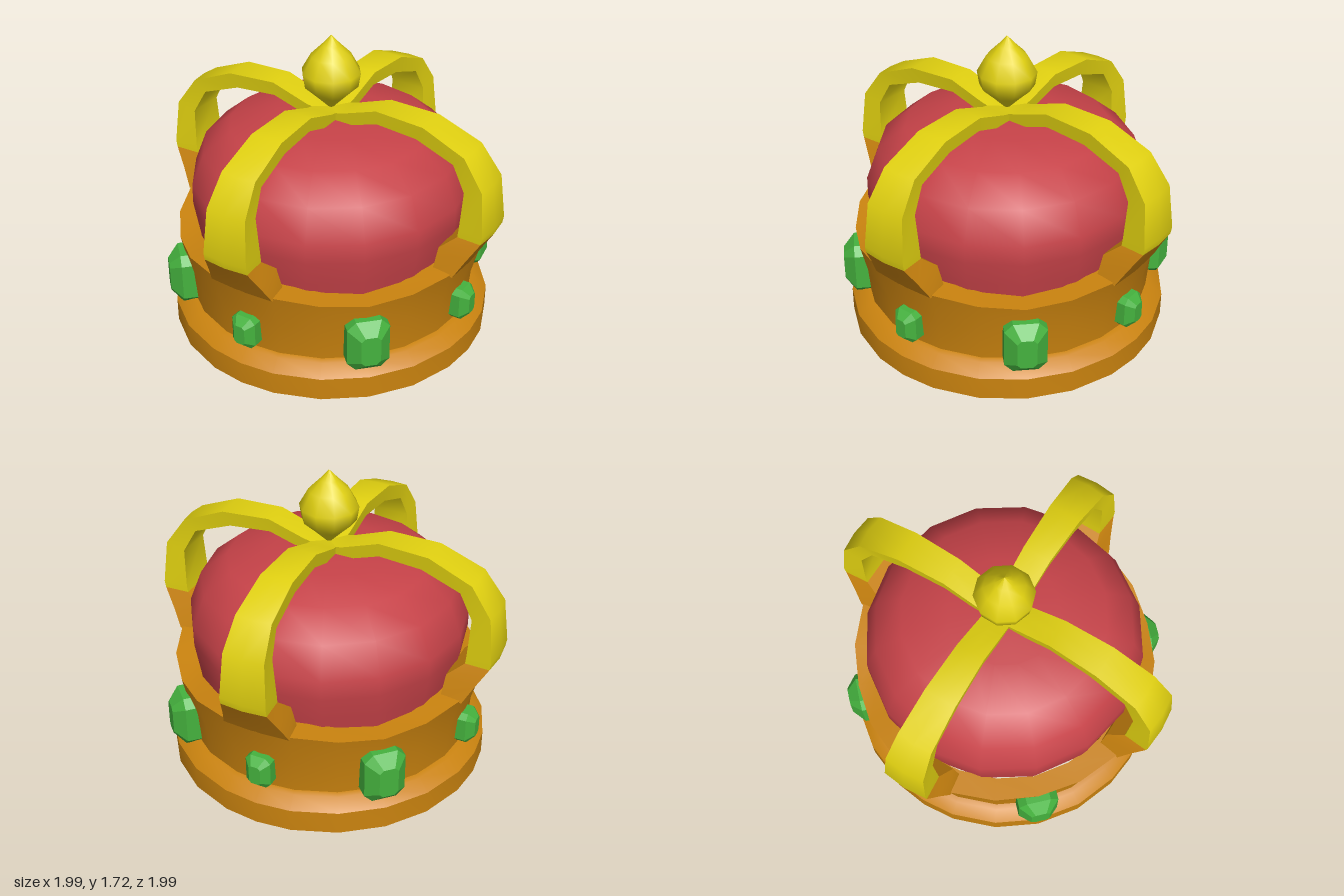
import * as THREE from 'three';
import { toCreasedNormals } from 'three/addons/utils/BufferGeometryUtils.js';

const paint = (name, color, side = THREE.FrontSide) => {
  const m = new THREE.MeshStandardMaterial({ color, side });
  m.name = name;
  return m;
};

// Skins a row of equal cross-sections (lists of [x, y, z])
function loft(loops, { ring = false, cap = false, crease = 0.6 } = {}) {
  const pos = [];
  const n = loops[0].length;
  const rows = ring ? loops.length : loops.length - 1;
  for (let i = 0; i < rows; i++) {
    const lower = loops[i], upper = loops[(i + 1) % loops.length];
    for (let j = 0; j < n; j++) {
      const k = (j + 1) % n;
      pos.push(...lower[j], ...lower[k], ...upper[k], ...lower[j], ...upper[k], ...upper[j]);
    }
  }
  if (cap) {
    const last = loops[loops.length - 1];
    for (let j = 1; j < n - 1; j++) pos.push(...last[0], ...last[j], ...last[j + 1]);
  }
  const geo = new THREE.BufferGeometry();
  geo.setAttribute('position', new THREE.Float32BufferAttribute(pos, 3));
  return toCreasedNormals(geo, crease);
}

// Circlet: a ring-shaped section swept round, its rim dipping between the arches
function circletGeometry() {
  const loops = [];
  for (let q = 0; q < 4; q++) {
    for (const deg of [0, 12.5, 28.75, 45, 61.25, 77.5]) {
      const a = THREE.MathUtils.degToRad(q * 90 + deg);
      const fromArch = Math.min(deg, 90 - deg);
      const rim = 0.63 - 0.042 * Math.max(0, (fromArch - 12.5) / 32.5);
      const top = 0.875 - 0.025 * fromArch / 45;
      const section = [
        [top, rim], [0.815, 0.42], [0.80, 0.235], [0.83, 0.228], [0.895, 0.17],
        [0.895, 0.04], [0.66, 0], [0.735, rim],
      ];
      loops.push(section.map(([r, y]) => [r * Math.sin(a), y, r * Math.cos(a)]));
    }
  }
  return loft(loops, { ring: true });
}

// Arch sections: [outer z, outer y, inner z, inner y, half width]
const archLoop = ([oz, oy, iz, iy, w]) => {
  const bow = oz > 0.8 ? 0.012 : 0.004;
  const up = oz > 0.8 ? 0 : bow;
  const out = oz > 0.8 ? bow : 0;
  return [[-w, oy, oz - out], [0, oy + up, oz], [w, oy, oz - out],
    [w * 0.9, iy, iz], [-w * 0.9, iy, iz]];
};
const FOOT = [
  [0.87, 0.62, 0.735, 0.62, 0.19],
  [0.925, 0.72, 0.75, 0.745, 0.16],
  [0.99, 0.83, 0.84, 0.825, 0.13],
];
const ARCH = [
  FOOT[2],
  [0.997, 0.87, 0.845, 0.87, 0.13],
  [0.97, 1.12, 0.855, 1.085, 0.115],
  [0.855, 1.28, 0.78, 1.22, 0.10],
  [0.60, 1.38, 0.56, 1.30, 0.09],
  [0.32, 1.392, 0.32, 1.315, 0.08],
  [0.11, 1.32, 0.17, 1.265, 0.075],
  [0, 1.30, 0, 1.24, 0.075],
];

// Cut gem: eight-sided outline stepping in to a flat table
function gemGeometry(w, h, girdle, table) {
  const outline = (hw, hh, z) => {
    const c = hw * 0.4;
    return [[hw, -hh + c, z], [hw, hh - c, z], [hw - c, hh, z], [-hw + c, hh, z],
      [-hw, hh - c, z], [-hw, -hh + c, z], [-hw + c, -hh, z], [hw - c, -hh, z]];
  };
  return loft([
    outline(w, h, 0.74), outline(w, h, girdle), outline(w * 0.46, h * 0.58, table),
  ], { cap: true, crease: 0.1 });
}

export function createModel() {
  const orange = paint('orange gold', 0xca830f);
  const yellow = paint('yellow gold', 0xe0d010);
  const red = paint('red cloth', 0xc64248, THREE.DoubleSide);
  const green = paint('green gem', 0x45b23e);

  const crown = new THREE.Group();
  crown.name = 'crown';
  const add = (name, geo, mat, turn = 0, y = 0) => {
    const mesh = new THREE.Mesh(geo, mat);
    mesh.name = name;
    mesh.rotation.y = turn;
    mesh.position.y = y;
    crown.add(mesh);
  };
  const lathe = (points, sides) =>
    new THREE.LatheGeometry(points.map(([r, y]) => new THREE.Vector2(r, y)), sides);

  add('circlet', circletGeometry(), orange);

  // Cloth cap, open below
  add('cap', lathe([
    [0.73, 0.57], [0.745, 0.66], [0.768, 0.8], [0.767, 0.91], [0.70, 1.085],
    [0.55, 1.21], [0.30, 1.262], [0, 1.272],
  ], 16), red);

  // Four arches with their feet, and eight gems between and below them
  const foot = loft(FOOT.map(archLoop));
  const arch = loft(ARCH.map(archLoop));
  const smallGem = gemGeometry(0.072, 0.095, 0.855, 0.897);
  const largeGem = gemGeometry(0.113, 0.15, 0.865, 0.926);
  for (let i = 0; i < 4; i++) {
    const turn = i * Math.PI / 2;
    add('archFoot', foot, orange, turn);
    add('arch', arch, yellow, turn);
    add('smallGem', smallGem, green, turn, 0.355);
    add('largeGem', largeGem, green, turn + Math.PI / 4, 0.36);
  }

  // Pointed finial
  add('finial', lathe([
    [0, 1.29], [0.085, 1.375], [0.148, 1.435], [0.16, 1.51], [0.11, 1.6], [0.05, 1.66], [0, 1.715],
  ], 10), yellow);

  return crown;
}
